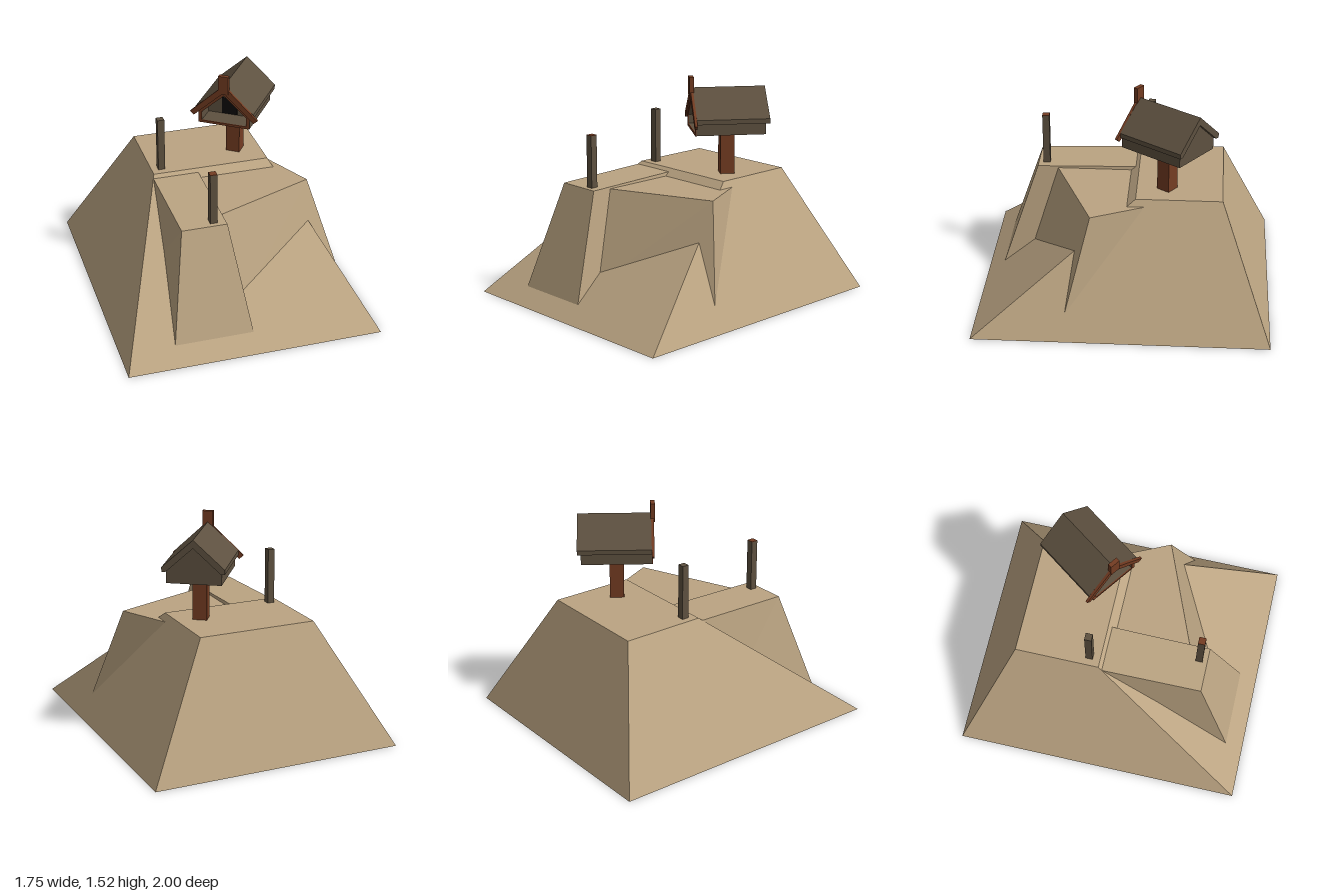
import * as THREE from 'three';

const mat = (name, color) => {
  const m = new THREE.MeshStandardMaterial({ color });
  m.name = name;
  return m;
};

// Solid between two rings of [x, y, z], each counter-clockwise seen from above
function loft(bottom, top) {
  const p = [], n = top.length;
  for (let i = 0; i < n; i++) {
    const j = (i + 1) % n;
    p.push(...bottom[i], ...bottom[j], ...top[j], ...bottom[i], ...top[j], ...top[i]);
  }
  for (let i = 1; i < n - 1; i++) {
    p.push(...top[0], ...top[i], ...top[i + 1]);
    p.push(...bottom[0], ...bottom[i + 1], ...bottom[i]);
  }
  const g = new THREE.BufferGeometry();
  g.setAttribute('position', new THREE.Float32BufferAttribute(p, 3));
  g.computeVertexNormals();
  return g;
}

// Ring at height y from [x, z] corners
const ring = (y, pts) => pts.map(([x, z]) => [x, y, z]);
const rect = (x0, x1, z0, z1) => [[x0, z1], [x1, z1], [x1, z0], [x0, z0]];

// Gabled wall outline: half width, floor, eave and peak heights
const gable = (w, y0, y1, y2) => [[-w, y0], [w, y0], [w, y1], [0, y2], [-w, y1]];
const vecs = (pts) => pts.map(([x, y]) => new THREE.Vector2(x, y));

// Outline extruded from z0 to z1, with an optional hole
function slab(outline, z0, z1, hole) {
  const s = new THREE.Shape(vecs(outline));
  if (hole) s.holes.push(new THREE.Path(vecs(hole)));
  return new THREE.ExtrudeGeometry(s, { depth: z1 - z0, bevelEnabled: false }).translate(0, 0, z0);
}

export function createModel() {
  const sand = mat('sand', 0xbba482);
  const greyWood = mat('greyWood', 0x5e5140);
  const redWood = mat('redWood', 0x743c22);
  const black = mat('black', 0x0c0b0a);

  const model = new THREE.Group();
  model.name = 'hillWithHut';
  const add = (parent, name, geometry, material, x = 0, y = 0, z = 0) => {
    const m = new THREE.Mesh(geometry, material);
    m.name = name;
    m.position.set(x, y, z);
    parent.add(m);
    return m;
  };
  const box = (w, h, d) => new THREE.BoxGeometry(w, h, d);

  // Hill with its flat top set towards the back
  add(model, 'hill', loft(
    ring(0, rect(-0.875, 0.875, -1, 1)),
    ring(0.845, rect(-0.41, 0.41, -0.66, -0.08))), sand);

  // Tapered ramp block on the front slope
  add(model, 'rampBlock', loft(
    ring(0.01, [[-0.543, 0.907], [0.023, 0.907], [0.023, -0.06], [-0.543, -0.06]]),
    [[-0.41, 0.81, 0.632], [-0.1, 0.81, 0.632], [-0.1, 0.825, -0.06], [-0.42, 0.825, -0.06]]), sand);

  // Slanted side ledge
  add(model, 'sideLedge', loft(
    ring(0.01, [[-0.2, 0.83], [0.83, 0.41], [0.54, -0.2], [-0.3, -0.2]]),
    ring(0.8, [[-0.3, 0.57], [0.6, 0.21], [0.43, -0.15], [-0.3, -0.15]])), sand);

  // Standing posts
  add(model, 'backPost', box(0.048, 0.4, 0.048), greyWood, -0.34, 1.025, -0.155);
  add(model, 'frontPost', box(0.048, 0.37, 0.048), greyWood, -0.183, 0.983, 0.575);
  add(model, 'frontPostCap', box(0.048, 0.004, 0.048), redWood, -0.183, 1.17, 0.575);

  // Hut on a pillar, turned to the hill's right
  const hut = new THREE.Group();
  hut.name = 'hut';
  hut.position.set(0.235, 0, -0.284);
  hut.rotation.y = -0.623;
  model.add(hut);

  add(hut, 'pillar', box(0.097, 0.32, 0.097), redWood, 0, 0.99, 0);

  // Walls: solid rear and hollow front porch
  const walls = gable(0.183, 1.145, 1.235, 1.4);
  const room = gable(0.16, 1.162, 1.225, 1.37);
  add(hut, 'rearWalls', slab(walls, -0.238, 0.1), greyWood);
  add(hut, 'porchWalls', slab(walls, 0.1, 0.237, room), greyWood);
  add(hut, 'doorway', box(0.11, 0.12, 0.006), black, -0.005, 1.225, 0.102);
  add(hut, 'frontFrame', slab(walls, 0.237, 0.245, room), redWood);

  // Roof and the crossed boards at its front
  const chevron = (w, yLow, yHigh, peak, wIn, yIn, peakIn) => [
    [-w, yHigh], [-w, yLow], [-wIn, yIn], [0, peakIn], [wIn, yIn], [w, yLow], [w, yHigh], [0, peak]];
  add(hut, 'roof', slab(chevron(0.208, 1.225, 1.257, 1.445, 0.182, 1.225, 1.39), -0.262, 0.237), greyWood);
  const boards = [[-0.242, 1.222], [-0.215, 1.198], [0, 1.395], [0.215, 1.198], [0.242, 1.222], [0, 1.45]];
  add(hut, 'gableBoards', slab(boards, 0.237, 0.255), redWood);
  add(hut, 'gablePost', box(0.072, 0.13, 0.03), redWood, 0, 1.455, 0.247);

  return model;
}
